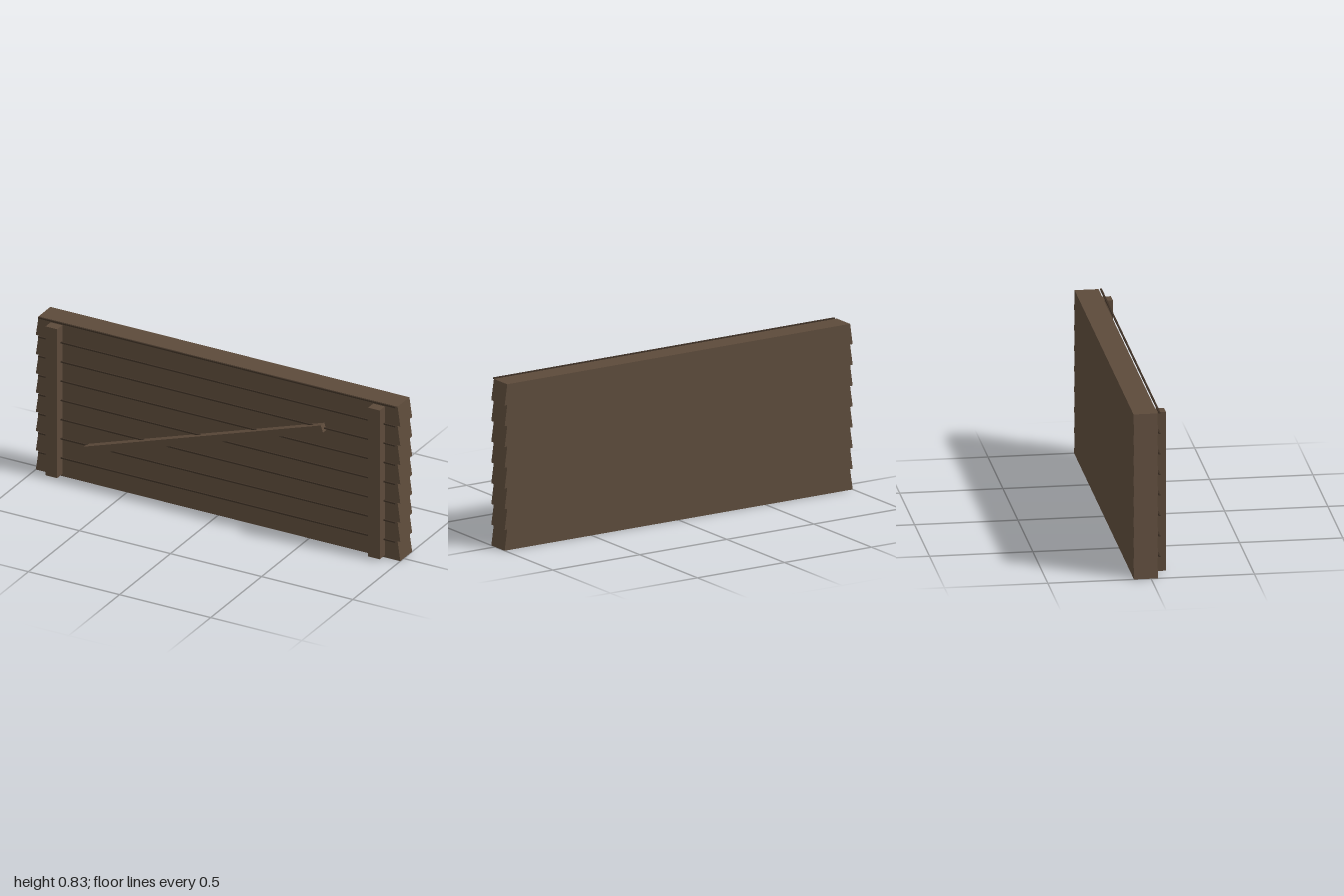
import * as THREE from 'three';

export function createModel() {
  const group = new THREE.Group();
  const wood = new THREE.MeshStandardMaterial({ name: 'brown wood', color: 0x5c4a3a });
  const dark = new THREE.MeshStandardMaterial({ name: 'dark seam wood', color: 0x3e3126 });

  const rows = 8, pitch = 0.1031, back = -0.083, front = 0.033;

  const addBox = (name, material, size, position) => {
    const mesh = new THREE.Mesh(new THREE.BoxGeometry(...size), material);
    mesh.name = name;
    mesh.position.set(...position);
    group.add(mesh);
    return mesh;
  };

  // Plank: trapezoid, slightly narrower along its top edge
  const outline = new THREE.Shape([
    new THREE.Vector2(-1, 0), new THREE.Vector2(1, 0),
    new THREE.Vector2(0.985, pitch), new THREE.Vector2(-0.985, pitch),
  ]);
  const plankGeometry = new THREE.ExtrudeGeometry(outline, { depth: front - back, bevelEnabled: false });

  for (let i = 0; i < rows; i++) {
    const plank = new THREE.Mesh(plankGeometry, wood);
    plank.name = `plank${i + 1}`;
    plank.position.set(0, i * pitch, back);
    group.add(plank);
    // Thin seam strip standing just clear of the planks
    addBox(`seamStrip${i + 1}`, dark, [1.96, 0.007, 0.008], [0, (i + 1) * pitch, 0.044]);
  }

  // Upright battens
  for (const [name, x] of [['rightBatten', -0.887], ['leftBatten', 0.883]])
    addBox(name, wood, [0.064, 0.798, 0.05], [x, 0.41, 0.058]);

  // Diagonal brace
  const brace = addBox('diagonalBrace', wood, [1.373, 0.038, 0.034], [-0.0625, 0.405, 0.05]);
  brace.rotation.z = 0.322;

  return group;
}
